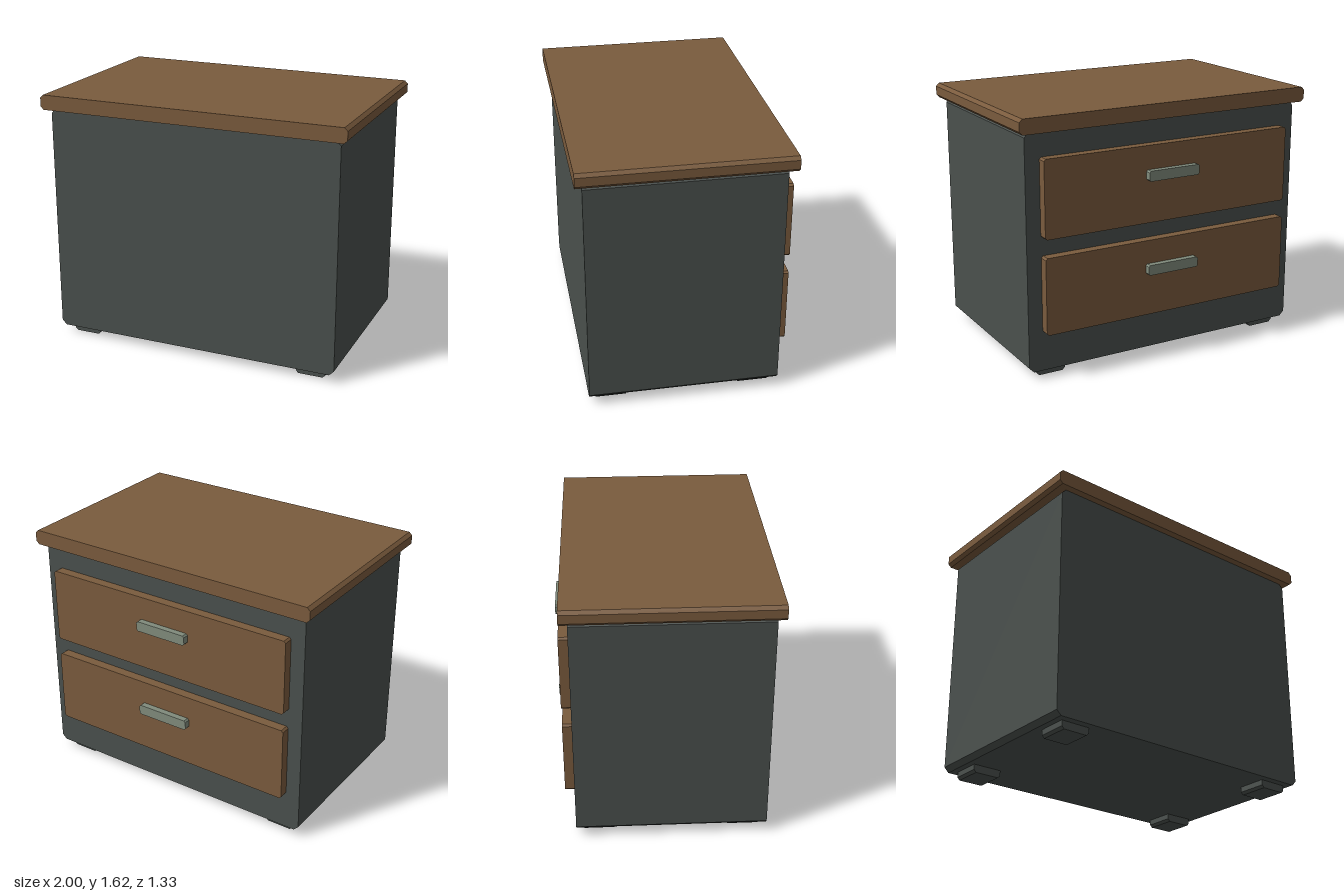
import * as THREE from 'three';

const material = (color) => new THREE.MeshStandardMaterial({ color, flatShading: true });

// Slab with chamfered corners in the x-y plane, extruded along z
function slab(name, mat, [x0, x1], [y0, y1], [z0, z1], c) {
  const shape = new THREE.Shape([
    [x0 + c, y0], [x1 - c, y0], [x1, y0 + c], [x1, y1 - c],
    [x1 - c, y1], [x0 + c, y1], [x0, y1 - c], [x0, y0 + c],
  ].map(([x, y]) => new THREE.Vector2(x, y)));
  const geometry = new THREE.ExtrudeGeometry(shape, { depth: z1 - z0, bevelEnabled: false });
  geometry.translate(0, 0, z0);
  const mesh = new THREE.Mesh(geometry, mat);
  mesh.name = name;
  return mesh;
}

export function createModel() {
  const model = new THREE.Group();
  model.name = 'nightstand';
  const wood = material(0x7a5b3d);
  const paint = material(0x4a504d);
  const metal = material(0x808b7c);

  // Cabinet body and overhanging top
  model.add(slab('cabinetBody', paint, [-0.95, 0.95], [0.05, 1.53], [-0.567, 0.622], 0.03));
  model.add(slab('tableTop', wood, [-1, 1], [1.527, 1.622], [-0.617, 0.667], 0.02));

  // Two drawers, each with a bar handle
  [['lower', 0.295], ['upper', 0.892]].forEach(([level, y]) => {
    const drawer = new THREE.Group();
    drawer.name = `${level}Drawer`;
    drawer.add(slab('drawerFront', wood, [-0.857, 0.857], [y, y + 0.485], [-0.628, -0.567], 0.012));
    drawer.add(slab('drawerHandle', metal, [-0.178, 0.178], [y + 0.27, y + 0.335], [-0.667, -0.628], 0.01));
    model.add(drawer);
  });

  // Four feet
  for (const x of [-0.785, 0.785]) {
    for (const z of [-0.425, 0.48]) {
      model.add(slab('foot', paint, [x - 0.095, x + 0.095], [0, 0.08], [z - 0.095, z + 0.095], 0.016));
    }
  }
  return model;
}
